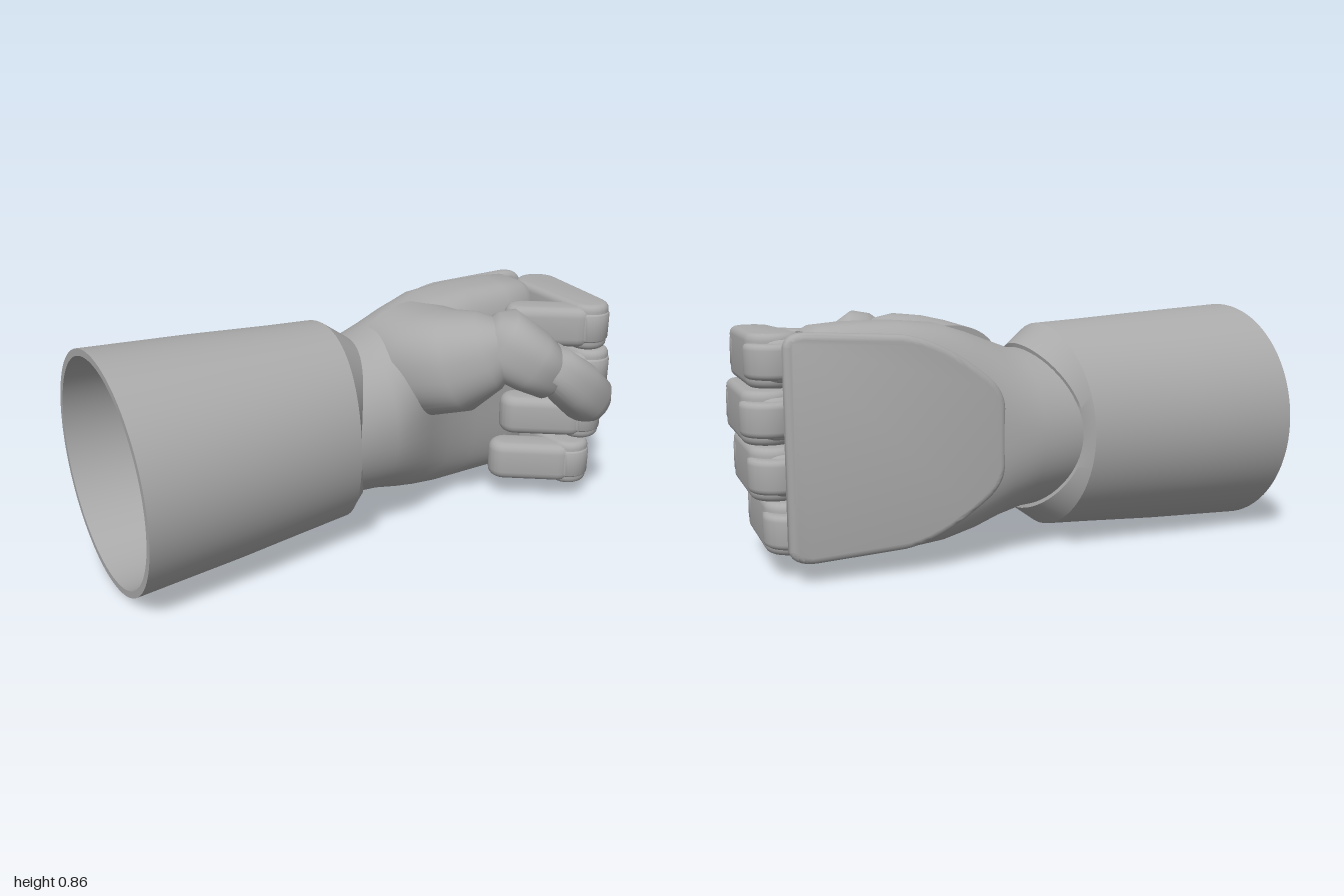
import * as THREE from 'three';
import { toCreasedNormals } from 'three/addons/utils/BufferGeometryUtils.js';

const grey = new THREE.MeshStandardMaterial({ color: 0xaaaaaa });
grey.name = 'grey';

const UP = new THREE.Vector3(0, 1, 0);

// Skin through superelliptic rings: [x, y, z, halfWidth, halfHeight, exponent, saddle]
function loft(name, rings, axis, crease = 0.7, sides = 48) {
  const pos = [], index = [];
  const centres = rings.map(r => new THREE.Vector3(r[0], r[1], r[2]));
  const power = (v, n) => Math.sign(v) * Math.abs(v) ** (2 / n);
  rings.forEach(([, , , ru, rv, n = 2.3, saddle = 0], i) => {
    const t = axis ? axis.clone() : centres[Math.min(i + 1, rings.length - 1)].clone()
      .sub(centres[Math.max(i - 1, 0)]).normalize();
    const u = UP.clone().cross(t).normalize();
    const v = t.clone().cross(u);
    for (let j = 0; j < sides; j++) {
      const a = (j / sides) * Math.PI * 2;
      const p = centres[i].clone()
        .addScaledVector(u, ru * power(Math.cos(a), n))
        .addScaledVector(v, rv * power(Math.sin(a), n))
        .addScaledVector(t, -saddle * Math.cos(2 * a));
      pos.push(p.x, p.y, p.z);
    }
  });
  const first = rings.length * sides, last = first + 1, end = first - sides;
  pos.push(...centres[0].toArray(), ...centres[centres.length - 1].toArray());
  for (let j = 0; j < sides; j++) {
    const k = (j + 1) % sides;
    for (let i = 0; i < rings.length - 1; i++) {
      const a = i * sides, b = a + sides;
      index.push(a + j, a + k, b + j, a + k, b + k, b + j);
    }
    index.push(first, k, j, last, end + j, end + k);
  }
  const geo = new THREE.BufferGeometry();
  geo.setAttribute('position', new THREE.Float32BufferAttribute(pos, 3));
  geo.setIndex(index);
  const mesh = new THREE.Mesh(toCreasedNormals(geo, crease), grey);
  mesh.name = name;
  return mesh;
}

// Bevelled extrusion, centred in its depth
function bevelled(shape, depth, bevel) {
  const geo = new THREE.ExtrudeGeometry(shape, {
    depth: depth - 2 * bevel, bevelEnabled: true, bevelSize: bevel, bevelOffset: -bevel,
    bevelThickness: bevel, bevelSegments: 4, curveSegments: 16,
  });
  geo.translate(0, 0, bevel - depth / 2);
  return geo;
}

// Rounded link between two circles [x, z, radius], width along y
function link(name, [ax, az, ra], [bx, bz, rb], width, bevel = 0.025) {
  const d = Math.atan2(bz - az, bx - ax);
  const phi = Math.acos((ra - rb) / Math.hypot(bx - ax, bz - az));
  const shape = new THREE.Shape();
  shape.absarc(ax, az, ra, d + phi, d + 2 * Math.PI - phi, false);
  shape.absarc(bx, bz, rb, d - phi, d + phi, false);
  const geo = bevelled(shape, width, bevel).rotateX(Math.PI / 2);
  const mesh = new THREE.Mesh(toCreasedNormals(geo, 0.6), grey);
  mesh.name = name;
  return mesh;
}

function makeFinger(name, x, y) {
  const finger = new THREE.Group();
  finger.name = name;
  finger.add(
    link('root', [0.7, -0.12, 0.07], [0.86, -0.12, 0.075], 0.14),
    link('middleSegment', [0.875, -0.085, 0.09], [0.85, 0.245, 0.075], 0.178),
    link('knuckleCap', [0.882, -0.125, 0.098], [0.876, -0.08, 0.092], 0.115, 0.02),
    link('jointCap', [0.848, 0.25, 0.078], [0.85, 0.225, 0.079], 0.115, 0.015),
    link('fingertip', [0.8, 0.235, 0.065], [0.635, 0.11, 0.065], 0.155, 0.035),
  );
  finger.position.set(x, y, 0);
  return finger;
}

export function createModel() {
  const hand = new THREE.Group();
  hand.name = 'hand';
  const X = new THREE.Vector3(1, 0, 0);

  // Hollow forearm: inner wall, mouth, outer wall, saddle-shaped wrist end
  hand.add(loft('forearm', [
    [-0.25, 0.433, -0.07, 0.33, 0.365, 2],
    [-1, 0.433, -0.07, 0.405, 0.405, 2],
    [-1, 0.433, -0.07, 0.43, 0.43, 2],
    [-0.6, 0.433, -0.072, 0.395, 0.408, 2],
    [-0.32, 0.434, -0.07, 0.357, 0.389, 2, 0.01],
    [-0.16, 0.435, -0.07, 0.338, 0.379, 2, 0.02],
    [-0.1, 0.435, -0.07, 0.302, 0.308, 2, 0.06],
  ], X, 0.5, 80));

  // Palm, from wrist to knuckles: [x, yLow, yHigh, zBack, zFront, exponent]
  const palm = [
    [-0.18, 0.15, 0.72, -0.36, 0.22, 2], [0, 0.14, 0.73, -0.365, 0.225, 2.1],
    [0.1, 0.118, 0.765, -0.355, 0.205, 2.3], [0.2, 0.09, 0.8, -0.34, 0.15, 2.6],
    [0.32, 0.068, 0.835, -0.325, 0.1, 3], [0.48, 0.056, 0.848, -0.305, 0.06, 3.3],
    [0.65, 0.055, 0.846, -0.285, 0.045, 3.6], [0.75, 0.065, 0.838, -0.272, 0.03, 3.8],
    [0.79, 0.085, 0.82, -0.262, 0.005, 4],
  ];
  hand.add(loft('palm', palm.map(([x, y0, y1, z0, z1, n]) =>
    [x, (y0 + y1) / 2, (z0 + z1) / 2, (z1 - z0) / 2, (y1 - y0) / 2, n]), X, 0.8, 64));

  // Plate on the back of the hand, overhanging the knuckles
  const outline = new THREE.Shape();
  outline.moveTo(0.89, 0.12);
  outline.lineTo(0.89, 0.78);
  outline.quadraticCurveTo(0.88, 0.83, 0.8, 0.825);
  outline.lineTo(0.5, 0.81);
  outline.quadraticCurveTo(0.36, 0.79, 0.2, 0.66);
  outline.quadraticCurveTo(0.14, 0.61, 0.14, 0.54);
  outline.lineTo(0.14, 0.36);
  outline.quadraticCurveTo(0.14, 0.29, 0.2, 0.24);
  outline.quadraticCurveTo(0.36, 0.11, 0.5, 0.09);
  outline.lineTo(0.8, 0.072);
  outline.quadraticCurveTo(0.88, 0.07, 0.89, 0.12);
  const plateGeo = bevelled(outline, 0.06, 0.022).translate(-0.5, 0, 0);
  const plate = new THREE.Mesh(toCreasedNormals(plateGeo, 0.6), grey);
  plate.name = 'backPlate';
  plate.rotation.y = -0.125;
  plate.position.set(0.5, 0, -0.278);
  hand.add(plate);

  // Four curled fingers
  [['indexFinger', 0, 0.73], ['middleFinger', 0.02, 0.545],
    ['ringFinger', 0, 0.358], ['littleFinger', -0.045, 0.17]]
    .forEach(f => hand.add(makeFinger(...f)));

  // Thumb folded across the front
  const thumb = new THREE.Group();
  thumb.name = 'thumb';
  thumb.add(
    loft('thumbBase', [
      [0.25, 0.63, -0.1, 0.22, 0.19], [0.255, 0.635, 0.08, 0.22, 0.2],
      [0.3, 0.67, 0.19, 0.185, 0.185], [0.37, 0.715, 0.255, 0.145, 0.145],
      [0.42, 0.74, 0.3, 0.09, 0.09],
    ], null, 0.9),
    loft('thumbMiddle', [
      [0.35, 0.785, 0.235, 0.04, 0.04, 2.5], [0.365, 0.775, 0.245, 0.09, 0.085, 2.5],
      [0.4, 0.75, 0.265, 0.128, 0.125, 2.6], [0.5, 0.675, 0.335, 0.125, 0.115, 2.6],
      [0.57, 0.62, 0.37, 0.105, 0.095, 2.6], [0.6, 0.6, 0.38, 0.06, 0.055, 2.5],
    ], null, 0.9),
    loft('thumbTip', [
      [0.52, 0.7, 0.37, 0.05, 0.04, 2.6], [0.55, 0.67, 0.378, 0.1, 0.08, 2.8],
      [0.66, 0.57, 0.39, 0.102, 0.098, 2.7], [0.74, 0.495, 0.39, 0.097, 0.098, 2.5],
      [0.78, 0.457, 0.387, 0.07, 0.072, 2.3], [0.8, 0.438, 0.385, 0.025, 0.025, 2],
    ], null, 0.9),
  );
  hand.add(thumb);

  return hand;
}
